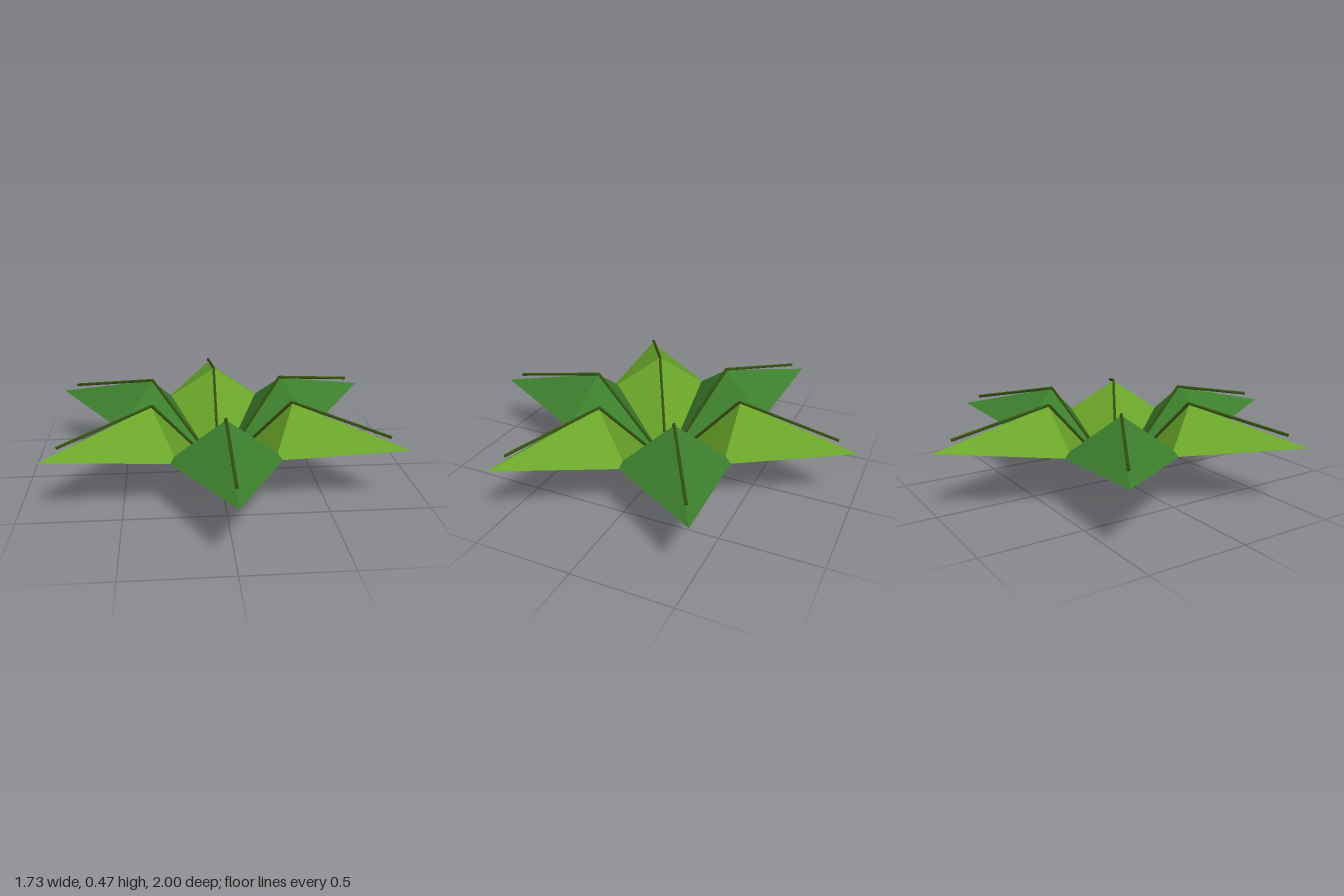
import * as THREE from 'three';

const LEAF_COUNT = 6;

// Corners of one leaf pointing along +z
const BASE = [0, 0, 0];
const RIDGE = [0, 0.455, 0.405];
const TIP = [0, 0.31, 1];
const LEFT = [0.281, 0.262, 0.428];
const RIGHT = [-0.281, 0.262, 0.428];

// Folded leaf: two inner and two outer triangles meeting at a raised ridge
function leafGeometry() {
  const faces = [
    [BASE, RIDGE, LEFT], [BASE, RIGHT, RIDGE],
    [RIDGE, TIP, LEFT], [RIDGE, RIGHT, TIP],
  ];
  const geometry = new THREE.BufferGeometry();
  geometry.setAttribute('position', new THREE.Float32BufferAttribute(faces.flat(2), 3));
  // Turn every face upward
  const p = geometry.attributes.position;
  const a = new THREE.Vector3(), b = new THREE.Vector3(), c = new THREE.Vector3();
  for (let i = 0; i < p.count; i += 3) {
    a.fromBufferAttribute(p, i);
    b.fromBufferAttribute(p, i + 1);
    c.fromBufferAttribute(p, i + 2);
    if (b.clone().sub(a).cross(c.clone().sub(a)).y < 0) {
      p.setXYZ(i + 1, c.x, c.y, c.z);
      p.setXYZ(i + 2, b.x, b.y, b.z);
    }
  }
  geometry.computeVertexNormals();
  return geometry;
}

// Thin straight rod between two points
function rod(from, to, material, name) {
  const start = new THREE.Vector3(...from);
  const span = new THREE.Vector3(...to).sub(start);
  const geometry = new THREE.CylinderGeometry(0.008, 0.008, span.length(), 6);
  const mesh = new THREE.Mesh(geometry, material);
  mesh.name = name;
  mesh.position.copy(start).addScaledVector(span, 0.5);
  mesh.quaternion.setFromUnitVectors(new THREE.Vector3(0, 1, 0), span.normalize());
  return mesh;
}

export function createModel() {
  const model = new THREE.Group();
  model.name = 'leafRosette';

  const leafMaterials = [0x3d7f2d, 0x6aa52a].map((color) => new THREE.MeshStandardMaterial({
    color, flatShading: true, side: THREE.DoubleSide,
  }));
  const ribMaterial = new THREE.MeshStandardMaterial({ color: 0x33500f, flatShading: true });
  const geometry = leafGeometry();

  // Leaves of alternating green around the centre
  for (let i = 0; i < LEAF_COUNT; i++) {
    const leaf = new THREE.Group();
    leaf.name = `leaf${i + 1}`;
    leaf.rotation.y = (i / LEAF_COUNT) * Math.PI * 2;

    const blade = new THREE.Mesh(geometry, leafMaterials[i % 2]);
    blade.name = 'blade';
    leaf.add(blade);

    // Midrib resting on the fold
    leaf.add(rod([0, 0.008, 0], [0, 0.458, 0.4], ribMaterial, 'innerRib'));
    leaf.add(rod([0, 0.459, 0.4], [0, 0.36, 0.905], ribMaterial, 'outerRib'));
    model.add(leaf);
  }
  return model;
}
